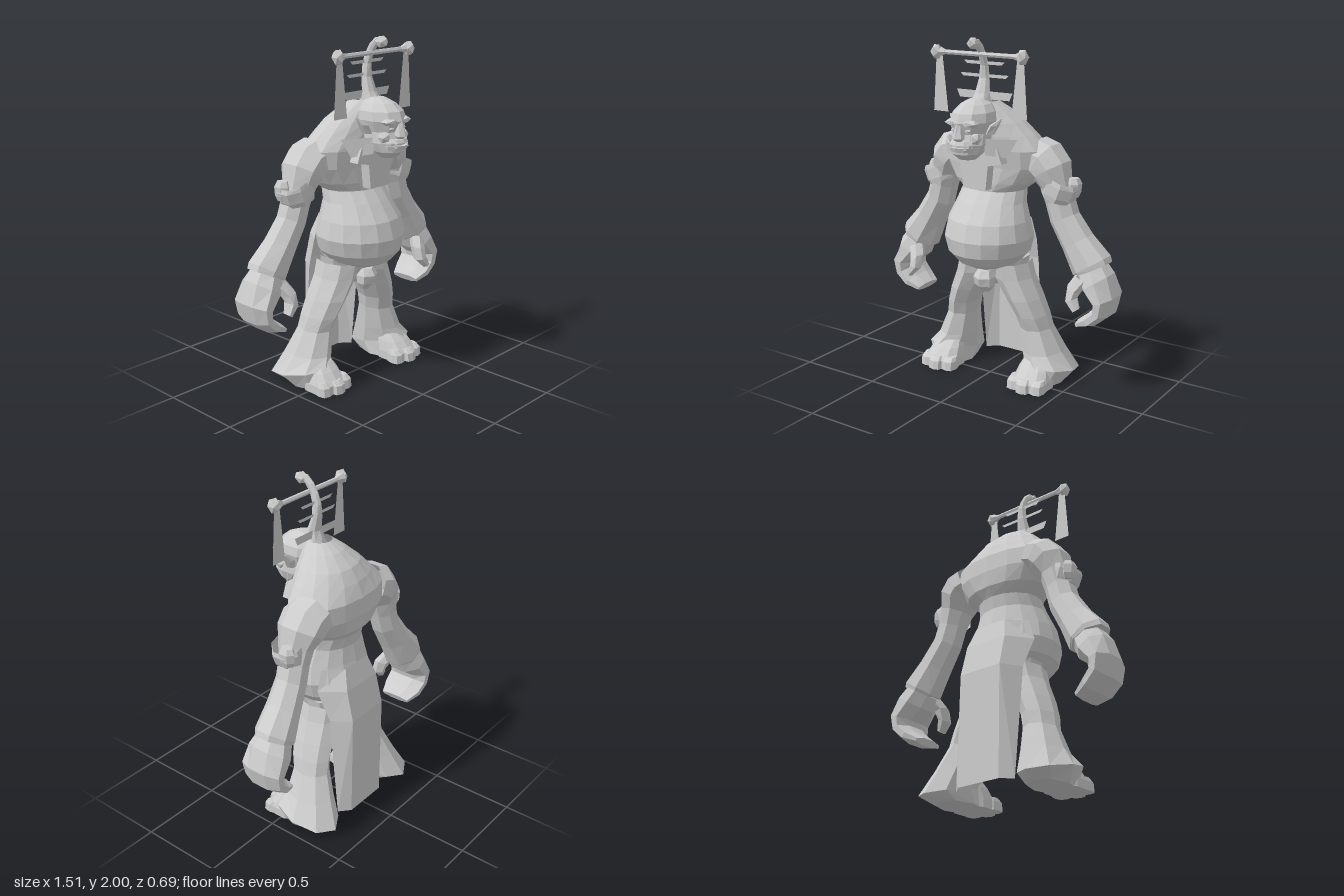
import * as THREE from 'three';

const stone = new THREE.MeshStandardMaterial({ color: 0xcccccc, flatShading: true, side: THREE.DoubleSide });
stone.name = 'stone grey';
const V = (x, y, z) => new THREE.Vector3(x, y, z);

// Skin a list of rings into an outward-facing shell, with optional end caps
function skin(rings, capStart = true, capEnd = true) {
  const tris = [], n = rings[0].length;
  for (let i = 0; i < rings.length - 1; i++) for (let j = 0; j < n; j++) {
    const k = (j + 1) % n, a = rings[i], b = rings[i + 1];
    tris.push([a[j], a[k], b[k]], [a[j], b[k], b[j]]);
  }
  const cap = (r, flip) => {
    const c = r.reduce((s, p) => s.add(p), V(0, 0, 0)).divideScalar(n);
    for (let j = 0; j < n; j++) {
      const k = (j + 1) % n;
      tris.push(flip ? [c, r[k], r[j]] : [c, r[j], r[k]]);
    }
  };
  if (capStart) cap(rings[0], true);
  if (capEnd) cap(rings[rings.length - 1], false);
  const mid = rings.flat().reduce((s, p) => s.add(p), V(0, 0, 0)).divideScalar(n * rings.length);
  let volume = 0;
  for (const t of tris) {
    const [a, b, c] = t.map(p => p.clone().sub(mid));
    volume += a.dot(b.cross(c));
  }
  const pts = tris.flatMap(([a, b, c]) => (volume < 0 ? [a, c, b] : [a, b, c]));
  const g = new THREE.BufferGeometry().setFromPoints(pts);
  g.computeVertexNormals();
  return g;
}

// Horizontal ring: half width, front z, back z; slope lifts the front edge, power < 1 squares it
function ring(n, x, y, rx, zf, zb, slope = 0, power = 1) {
  const bend = v => Math.sign(v) * Math.abs(v) ** power;
  return Array.from({ length: n }, (_, i) => {
    const a = i / n * Math.PI * 2, c = bend(Math.cos(a));
    return V(x + rx * bend(Math.sin(a)), y + slope * c, (zf + zb) / 2 + (zf - zb) / 2 * c);
  });
}
const stack = (n, rows, ...caps) => skin(rows.map(([y, rx, zf, zb, power]) => ring(n, 0, y, rx, zf, zb, 0, power)), ...caps);

// Limb: rows of x, y, z, in-plane radius, z radius, rings square to the path
function limb(n, rows, ...caps) {
  return skin(rows.map(([x, y, z, r, rz], i) => {
    const p = rows[Math.max(0, i - 1)], q = rows[Math.min(rows.length - 1, i + 1)];
    const d = V(q[0] - p[0], q[1] - p[1], 0).normalize();
    return Array.from({ length: n }, (_, j) => {
      const a = (j + 0.5) / n * Math.PI * 2, s = Math.sin(a) * r * 1.06;
      return V(x - d.y * s, y + d.x * s, z + Math.cos(a) * rz * 1.06);
    });
  }), ...caps);
}

const blob = (x, y, z, rx, ry, rz) => new THREE.IcosahedronGeometry(1, 0).scale(rx, ry, rz).translate(x, y, z);

// Flat polygon of 3D corners, fanned from the first
function sheet(...c) {
  const pts = [];
  for (let i = 1; i < c.length - 1; i++) pts.push(V(...c[0]), V(...c[i]), V(...c[i + 1]));
  const g = new THREE.BufferGeometry().setFromPoints(pts);
  g.computeVertexNormals();
  return g;
}

// Mirror across x and restore the corner order
function mirrored(geo) {
  const g = geo.index ? geo.toNonIndexed() : geo.clone();
  g.scale(-1, 1, 1);
  const p = g.attributes.position, a = V(), b = V();
  for (let i = 0; i < p.count; i += 3) {
    a.fromBufferAttribute(p, i + 1);
    b.fromBufferAttribute(p, i + 2);
    p.setXYZ(i + 1, b.x, b.y, b.z);
    p.setXYZ(i + 2, a.x, a.y, a.z);
  }
  g.computeVertexNormals();
  return g;
}

export function createModel() {
  const model = new THREE.Group();
  model.name = 'ogre';
  const add = (name, geo) => {
    const m = new THREE.Mesh(geo, stone);
    m.name = name;
    model.add(m);
  };
  const pair = (name, geo) => { add(name + 'Left', geo); add(name + 'Right', mirrored(geo)); };

  // Round belly, broad chest and hunched back
  add('torso', stack(16, [
    [0.69, 0.12, 0.14, -0.14], [0.72, 0.18, 0.2, -0.19], [0.78, 0.238, 0.25, -0.24], [0.87, 0.263, 0.265, -0.25],
    [0.97, 0.243, 0.235, -0.22], [1.07, 0.207, 0.165, -0.2], [1.14, 0.195, 0.11, -0.215],
    [1.19, 0.26, 0.11, -0.25, 0.9], [1.28, 0.32, 0.105, -0.265, 0.85], [1.38, 0.33, 0.12, -0.262, 0.9],
    [1.46, 0.265, 0.13, -0.225], [1.53, 0.2, 0.13, -0.18], [1.6, 0.125, 0.12, -0.1], [1.645, 0.07, 0.11, -0.03]],
  true, false));
  add('pelvis', stack(10, [[0.57, 0.07, 0.03, -0.15], [0.65, 0.19, 0.06, -0.2], [0.74, 0.21, 0.1, -0.23]], true, false));
  add('groinKnot', stack(6, [[0.53, 0.03, 0.07, 0.02], [0.57, 0.06, 0.11, 0.01], [0.62, 0.065, 0.125, 0],
    [0.66, 0.045, 0.1, 0]]));

  // Chest bib and collar flaps
  const bib = new THREE.Shape([[-0.075, 1.16], [0.075, 1.16], [0.09, 1.3], [0.18, 1.32], [0.15, 1.4],
    [-0.15, 1.4], [-0.18, 1.32], [-0.09, 1.3]].map(p => new THREE.Vector2(...p)));
  add('bib', new THREE.ExtrudeGeometry(bib, { depth: 0.06, bevelEnabled: false }).translate(0, 0, 0.1));
  pair('collarFlap', sheet([0.09, 1.46, 0.2], [0.1, 1.37, 0.2], [0.19, 1.35, 0.12], [0.23, 1.45, 0.08]));

  // Head with heavy jaw
  add('head', stack(10, [
    [1.345, 0.05, 0.27, 0.18], [1.38, 0.085, 0.315, 0.12], [1.43, 0.105, 0.32, 0.06], [1.49, 0.1, 0.3, 0.03],
    [1.55, 0.12, 0.32, 0], [1.6, 0.112, 0.3, 0.01], [1.64, 0.08, 0.25, 0.03], [1.665, 0.035, 0.19, 0.09]]));
  add('nose', stack(6, [[1.45, 0.02, 0.32, 0.27], [1.47, 0.035, 0.345, 0.27], [1.55, 0.015, 0.32, 0.27]]));
  add('lowerLip', stack(10, [[1.395, 0.075, 0.33, 0.18], [1.42, 0.08, 0.34, 0.18]]));
  add('upperLip', stack(10, [[1.436, 0.08, 0.34, 0.18], [1.455, 0.07, 0.33, 0.18]]));
  pair('brow', blob(0.052, 1.55, 0.275, 0.055, 0.022, 0.045));
  pair('eye', blob(0.045, 1.51, 0.28, 0.022, 0.012, 0.02));
  pair('cheek', blob(0.075, 1.465, 0.255, 0.033, 0.035, 0.04));
  pair('tusk', new THREE.ConeGeometry(0.012, 0.05, 4).translate(0.045, 1.435, 0.315));
  pair('ear', skin([ring(5, 0.1, 1.48, 0.03, 0.19, 0.13), ring(5, 0.13, 1.53, 0.026, 0.19, 0.12),
    ring(5, 0.168, 1.57, 0.004, 0.15, 0.14)]));

  // Top horn curling forward
  add('horn', stack(8, [
    [1.64, 0.055, 0.15, 0.02], [1.69, 0.045, 0.115, 0.04], [1.77, 0.032, 0.085, 0.032],
    [1.84, 0.022, 0.085, 0.032], [1.9, 0.017, 0.105, 0.05], [1.95, 0.018, 0.145, 0.08], [1.985, 0.016, 0.165, 0.12]],
  false));
  add('hornKnob', blob(0, 1.965, 0.165, 0.032, 0.036, 0.045));

  // Hanging frame: crossbar, end knobs, banners and slats
  add('crossbar', new THREE.CylinderGeometry(0.014, 0.014, 0.54, 6).rotateZ(Math.PI / 2).translate(0, 1.902, 0.105));
  pair('barFlare', new THREE.CylinderGeometry(0.014, 0.032, 0.05, 6).rotateZ(Math.PI / 2).translate(0.25, 1.902, 0.108));
  pair('barKnob', blob(0.282, 1.902, 0.115, 0.034, 0.046, 0.04));
  pair('banner', sheet([0.245, 1.88, 0.11], [0.21, 1.57, 0.11], [0.31, 1.57, 0.11], [0.288, 1.88, 0.11]));
  [[1.852, 0.135, 0.018], [1.782, 0.16, 0.018], [1.675, 0.185, 0.044]].forEach(([y, w, h], i) =>
    add('slat' + i, sheet([-w, y + h / 2, 0.06], [-w + 0.02, y - h / 2, 0.06],
      [w - 0.02, y - h / 2, 0.06], [w, y + h / 2, 0.06])));

  // Shoulders flowing into the arms
  pair('arm', limb(8, [
    [0.24, 1.335, -0.105, 0.11, 0.13], [0.3, 1.315, -0.105, 0.115, 0.135], [0.345, 1.265, -0.105, 0.108, 0.13],
    [0.375, 1.19, -0.1, 0.085, 0.1], [0.4, 1.1, -0.105, 0.08, 0.085],
    [0.43, 1.0, -0.11, 0.082, 0.085], [0.51, 0.87, -0.12, 0.09, 0.095], [0.595, 0.745, -0.13, 0.115, 0.11],
    [0.605, 0.725, -0.13, 0.11, 0.105]], false));
  pair('armband', limb(8, [[0.425, 1.225, -0.09, 0.09, 0.09], [0.415, 1.2, -0.09, 0.105, 0.095],
    [0.395, 1.14, -0.09, 0.1, 0.095], [0.385, 1.115, -0.09, 0.088, 0.09]], false, false));
  pair('armbandStud', skin([ring(6, 0.47, 1.12, 0.03, -0.09, -0.16), ring(6, 0.475, 1.15, 0.038, -0.075, -0.175),
    ring(6, 0.48, 1.2, 0.038, -0.075, -0.175), ring(6, 0.475, 1.23, 0.028, -0.09, -0.16)]));

  // Curled hand and thumb
  pair('hand', limb(8, [
    [0.6, 0.725, -0.13, 0.085, 0.1], [0.64, 0.66, -0.13, 0.092, 0.125], [0.7, 0.57, -0.13, 0.06, 0.135],
    [0.69, 0.5, -0.13, 0.047, 0.13], [0.63, 0.445, -0.125, 0.04, 0.125], [0.555, 0.41, -0.12, 0.022, 0.095]], false));
  pair('thumb', limb(6, [[0.585, 0.69, -0.06, 0.045, 0.05], [0.55, 0.63, -0.015, 0.042, 0.045],
    [0.545, 0.575, 0.005, 0.035, 0.042], [0.585, 0.52, 0.02, 0.02, 0.028]], false));

  // Flared trousers tucking under the hem to the sole: x, y, half width, front z, back z, hem slope
  pair('trouserLeg', skin([
    [0.115, 0.71, 0.105, 0.08, -0.2], [0.135, 0.62, 0.11, 0.075, -0.2], [0.195, 0.5, 0.1, 0.06, -0.21],
    [0.24, 0.4, 0.09, 0.035, -0.215], [0.26, 0.32, 0.09, 0.01, -0.22], [0.3, 0.18, 0.115, 0.03, -0.28],
    [0.342, 0.075, 0.145, 0.06, -0.35, 0.045], [0.315, 0, 0.112, 0.06, -0.26]].map(r => ring(8, ...r)), false));

  // Forefeet with three blunt toes
  pair('foot', skin([[0.315, 0, 0.112, 0.14, -0.1], [0.315, 0.05, 0.112, 0.14, -0.1],
    [0.31, 0.11, 0.095, 0.08, -0.1], [0.3, 0.15, 0.07, 0.03, -0.1]].map(r => ring(10, ...r, 0, 0.85))));
  [[0.235, 0.09], [0.31, 0.115], [0.385, 0.09]].forEach(([x, z], i) =>
    pair('toe' + i, skin([[x, 0, 0.044, z + 0.05, z - 0.05], [x, 0.05, 0.042, z + 0.045, z - 0.05],
      [x, 0.072, 0.034, z + 0.015, z - 0.05]].map(r => ring(8, ...r, 0, 0.7)))));

  // Long rear loincloth with folded side wings: y, half width, wing, back z, wing z
  const cloth = [[0.96, 0.1, 0.2, -0.225, -0.13], [0.84, 0.135, 0.235, -0.265, -0.13],
    [0.66, 0.138, 0.21, -0.31, -0.2], [0.03, 0.138, 0.2, -0.31, -0.255]];
  for (let i = 0; i < 3; i++) {
    const [y, w, s, z, e] = cloth[i], [y2, w2, s2, z2, e2] = cloth[i + 1];
    pair('loincloth' + i, sheet([0, y, z], [w, y, z], [w2, y2, z2], [0, y2, z2]));
    pair('loinclothWing' + i, sheet([w, y, z], [s, y, e], [s2, y2, e2], [w2, y2, z2]));
  }
  return model;
}
